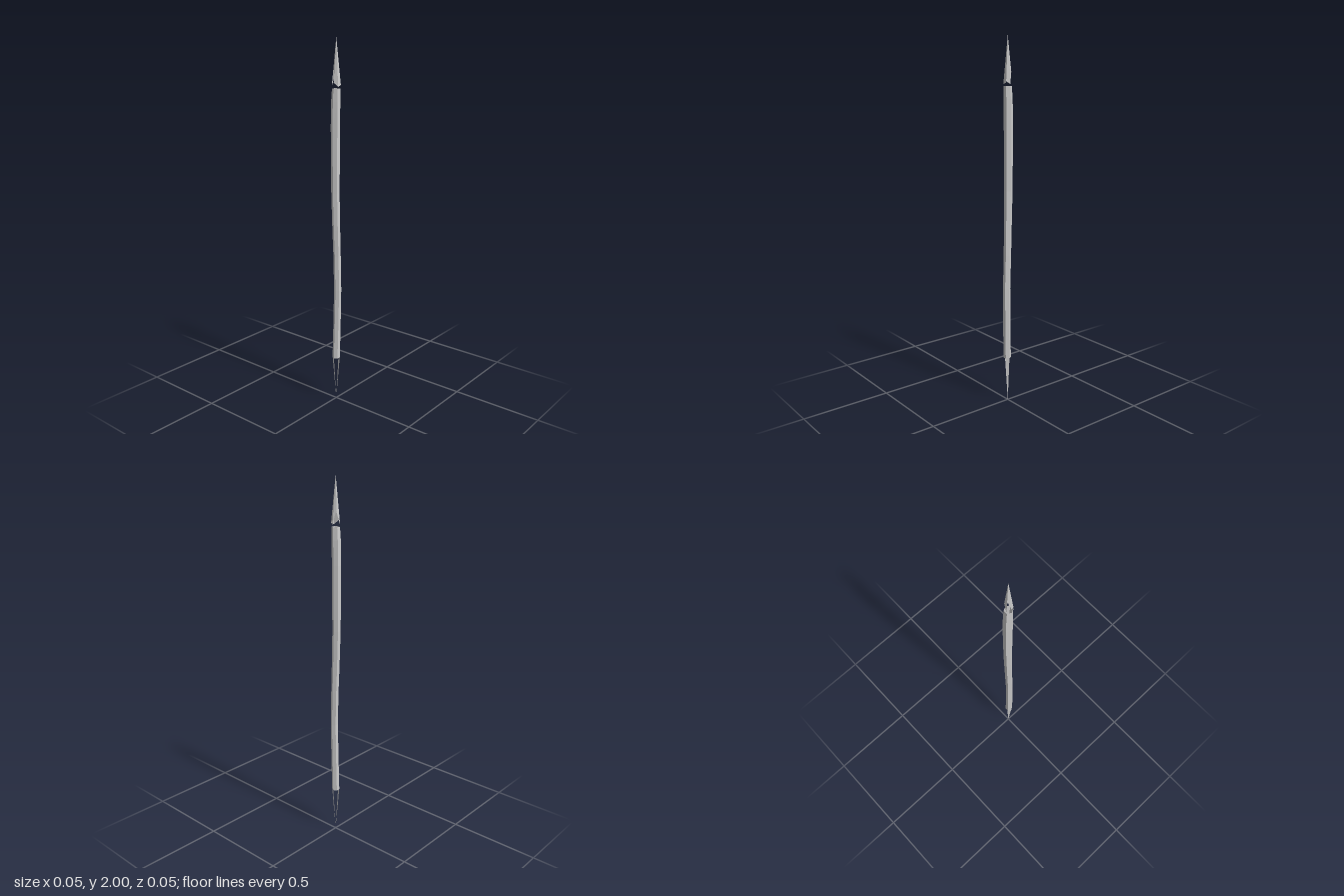
import * as THREE from 'three';

const material = new THREE.MeshStandardMaterial({
  color: 0xcccccc,
  flatShading: true,
  side: THREE.DoubleSide,
});

// Corner i of a hexagon section [y, centre x, centre z, half width x, half width z]; corners point along z
function corner([y, cx, cz, hx, hz], i) {
  const a = (i * Math.PI) / 3;
  return new THREE.Vector3(cx + (hx / 0.866) * Math.sin(a), y, cz + hz * Math.cos(a));
}

function makeMesh(name, points) {
  const geometry = new THREE.BufferGeometry().setFromPoints(points);
  geometry.computeVertexNormals();
  const mesh = new THREE.Mesh(geometry, material);
  mesh.name = name;
  return mesh;
}

// Open six-sided tube through sections listed from bottom to top
function makeShaft(name, sections) {
  const points = [];
  for (let s = 0; s < sections.length - 1; s++) {
    for (let i = 0; i < 6; i++) {
      const a = corner(sections[s], i), b = corner(sections[s], i + 1);
      const c = corner(sections[s + 1], i + 1), d = corner(sections[s + 1], i);
      points.push(a, b, c, a, c, d);
    }
  }
  return makeMesh(name, points);
}

// Splintered point: facets [side, trim at first corner, trim at second corner] meeting at the apex
function makeTip(name, apex, base, facets) {
  const points = [];
  for (const [i, trimA, trimB] of facets) {
    const a = corner(base, i).lerp(apex, trimA);
    const b = corner(base, i + 1).lerp(apex, trimB);
    if (apex.y > base[0]) points.push(a, b, apex);
    else points.push(b, a, apex);
  }
  return makeMesh(name, points);
}

export function createModel() {
  const group = new THREE.Group();
  group.name = 'splinteredStick';

  // Gently bent shaft in two lengths
  const middle = [1.0, 0, 0, 0.019, 0.02];
  group.add(makeShaft('lowerShaft', [
    [0.255, 0.002, 0.003, 0.018, 0.021],
    [0.45, 0.006, 0.001, 0.018, 0.02],
    [0.66, 0.009, -0.001, 0.018, 0.019],
    [0.85, 0.004, -0.002, 0.018, 0.019],
    middle,
  ]));
  group.add(makeShaft('upperShaft', [
    middle,
    [1.2, -0.005, 0.001, 0.02, 0.021],
    [1.55, -0.005, 0.001, 0.022, 0.023],
    [1.68, -0.003, 0.001, 0.021, 0.023],
    [1.745, 0, 0.001, 0.019, 0.021],
  ]));

  // Upper point, its facets broken off at uneven heights
  group.add(makeTip('upperTip', new THREE.Vector3(0, 2, 0), [1.755, 0, -0.001, 0.021, 0.023], [
    [0, 0.08, 0], [1, 0, 0.03], [2, 0.06, 0], [3, 0.02, 0.32], [4, 0.25, 0], [5, 0.4, 0.1],
  ]));

  // Lower point, only two opposite splinters remain
  group.add(makeTip('lowerTip', new THREE.Vector3(0, 0, 0), [0.265, 0.002, 0.003, 0.018, 0.021], [
    [2, 0, 0.02], [5, 0.03, 0],
  ]));

  return group;
}
